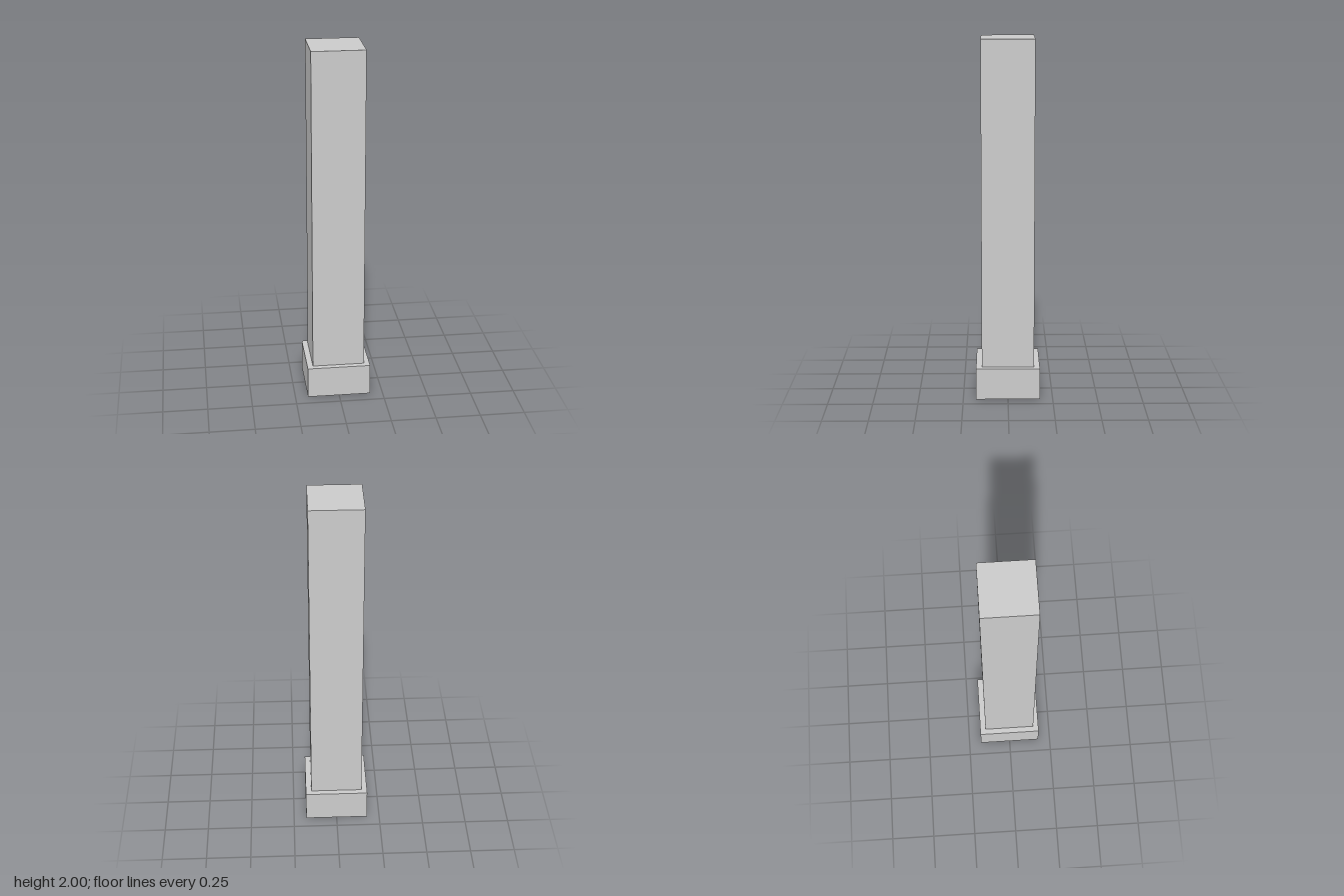
import * as THREE from 'three';

const material = new THREE.MeshStandardMaterial({
  color: 0xcccccc, flatShading: true, side: THREE.DoubleSide,
});

// Square shell swept from [half width, height] pairs, listed bottom to top
function squareShell(name, profile) {
  const points = profile.map(([half, y]) => new THREE.Vector2(half * Math.SQRT2, y));
  const mesh = new THREE.Mesh(new THREE.LatheGeometry(points, 4, Math.PI / 4), material);
  mesh.name = name;
  return mesh;
}

export function createModel() {
  const group = new THREE.Group();
  group.name = 'squarePost';

  const baseHalf = 0.178, shaftHalf = 0.146, baseHeight = 0.178, height = 2;

  // Hollow plinth, open underneath, with a ledge running in to the shaft
  group.add(squareShell('base', [[baseHalf, 0], [baseHalf, baseHeight], [shaftHalf, baseHeight]]));

  // Hollow shaft, open to the plinth below and closed on top
  group.add(squareShell('shaft', [[shaftHalf, baseHeight], [shaftHalf, height], [0, height]]));

  return group;
}
